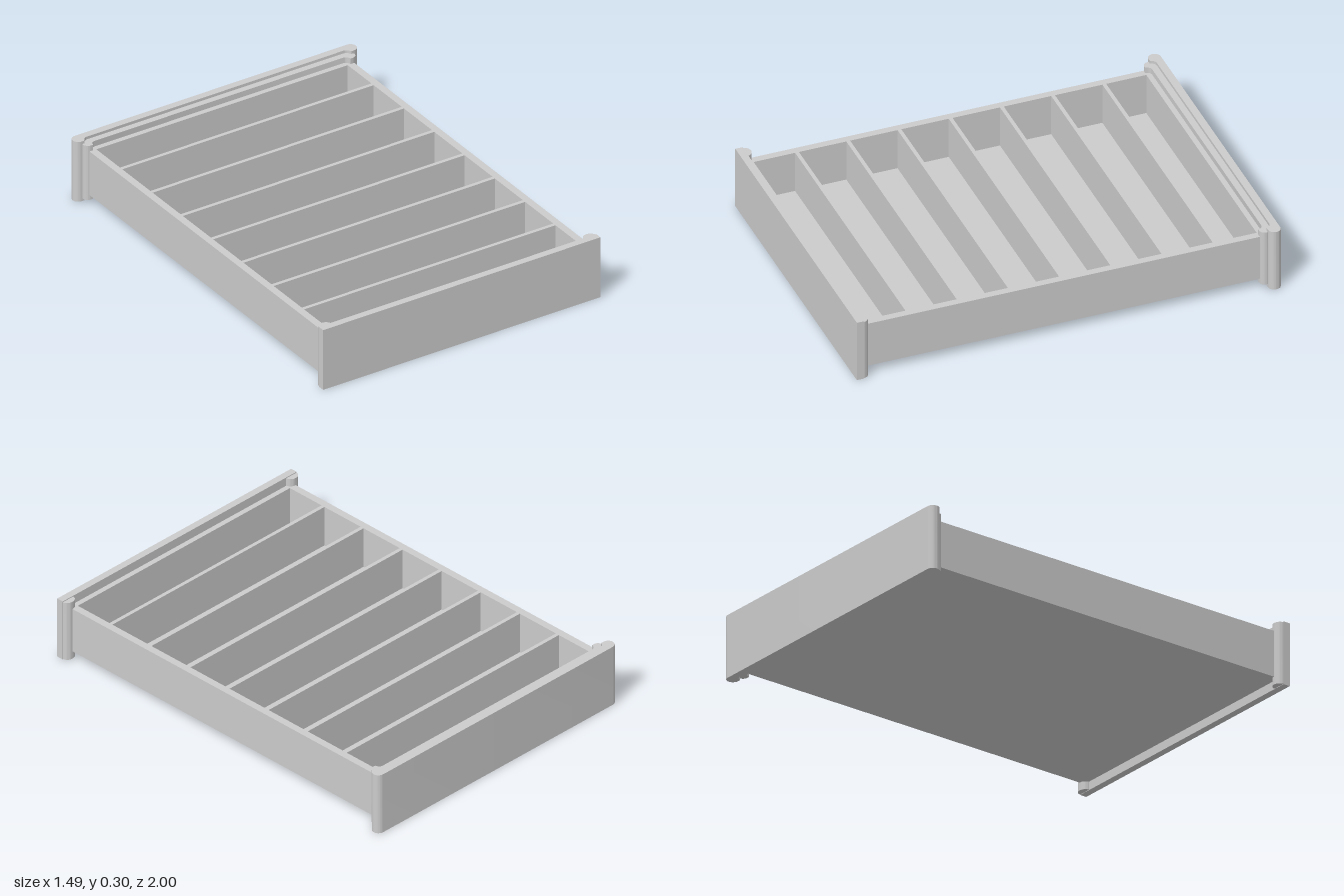
import * as THREE from 'three';
import { toCreasedNormals } from 'three/addons/utils/BufferGeometryUtils.js';

const material = new THREE.MeshStandardMaterial({ color: 0xcccccc });

// Extrude a plan (shape x -> x, shape y -> z) between two heights
function extrudePlan(name, shape, bottom, top) {
  const geo = new THREE.ExtrudeGeometry(shape, { depth: top - bottom, bevelEnabled: false });
  geo.rotateX(Math.PI / 2);
  geo.translate(0, top, 0);
  const mesh = new THREE.Mesh(toCreasedNormals(geo, 0.6), material);
  mesh.name = name;
  return mesh;
}

function rectangle(target, x, z0, z1) {
  target.moveTo(-x, z0);
  target.lineTo(x, z0);
  target.lineTo(x, z1);
  target.lineTo(-x, z1);
  target.closePath();
  return target;
}

// Close a right-hand half outline by mirroring it across x = 0
function mirrored(half) {
  const pts = half.getPoints(10);
  const left = pts.slice(1, -1).reverse().map((p) => new THREE.Vector2(-p.x, p.y));
  return new THREE.Shape([...pts, ...left]);
}

export function createModel() {
  const group = new THREE.Group();
  group.name = 'dividedTray';

  // Tray walls and thin dividers: one slab with a row of openings
  const walls = rectangle(new THREE.Shape(), 0.695, -0.935, 0.965);
  const count = 8, first = -0.712, pitch = 0.2413, halfDivider = 0.009;
  for (let i = 0; i < count; i++) {
    const z0 = i === 0 ? -0.91 : first + (i - 1) * pitch + halfDivider;
    const z1 = i === count - 1 ? 0.94 : first + i * pitch - halfDivider;
    walls.holes.push(rectangle(new THREE.Path(), 0.66, z0, z1));
  }
  group.add(extrudePlan('wallsAndDividers', walls, 0.06, 0.262));

  // Floor under all compartments
  group.add(extrudePlan('floor', rectangle(new THREE.Shape(), 0.695, -0.935, 0.965), 0.04, 0.06));

  // Front panel with a half-round upright behind each end
  group.add(extrudePlan('frontPanel', rectangle(new THREE.Shape(), 0.728, 0.966, 1), 0, 0.304));
  for (const side of [-1, 1]) {
    const upright = new THREE.Shape();
    upright.moveTo(side * 0.695 + 0.032, 0.966);
    upright.absellipse(side * 0.695, 0.966, 0.032, 0.028, 0, Math.PI, true);
    upright.closePath();
    group.add(extrudePlan('frontUpright', upright, 0.002, 0.3));
  }

  // Back panel with rounded ends that curl forward
  const back = new THREE.Path();
  back.moveTo(0, -1);
  back.lineTo(0.716, -1);
  back.absarc(0.715, -0.971, 0.029, -Math.PI / 2, Math.PI / 2, false);
  back.lineTo(0.7, -0.942);
  back.quadraticCurveTo(0.69, -0.965, 0.672, -0.965);
  back.lineTo(0, -0.965);
  group.add(extrudePlan('backPanel', mirrored(back), 0, 0.304));

  // Smaller stepped moulding in front of the back panel
  const step = new THREE.Path();
  step.moveTo(0, -0.965);
  step.lineTo(0.7, -0.965);
  step.lineTo(0.712, -0.942);
  step.absellipse(0.688, -0.938, 0.025, 0.027, 0, Math.PI / 2, false);
  step.lineTo(0.676, -0.911);
  step.quadraticCurveTo(0.67, -0.935, 0.653, -0.935);
  step.lineTo(0, -0.935);
  group.add(extrudePlan('backMoulding', mirrored(step), 0.015, 0.29));

  return group;
}
